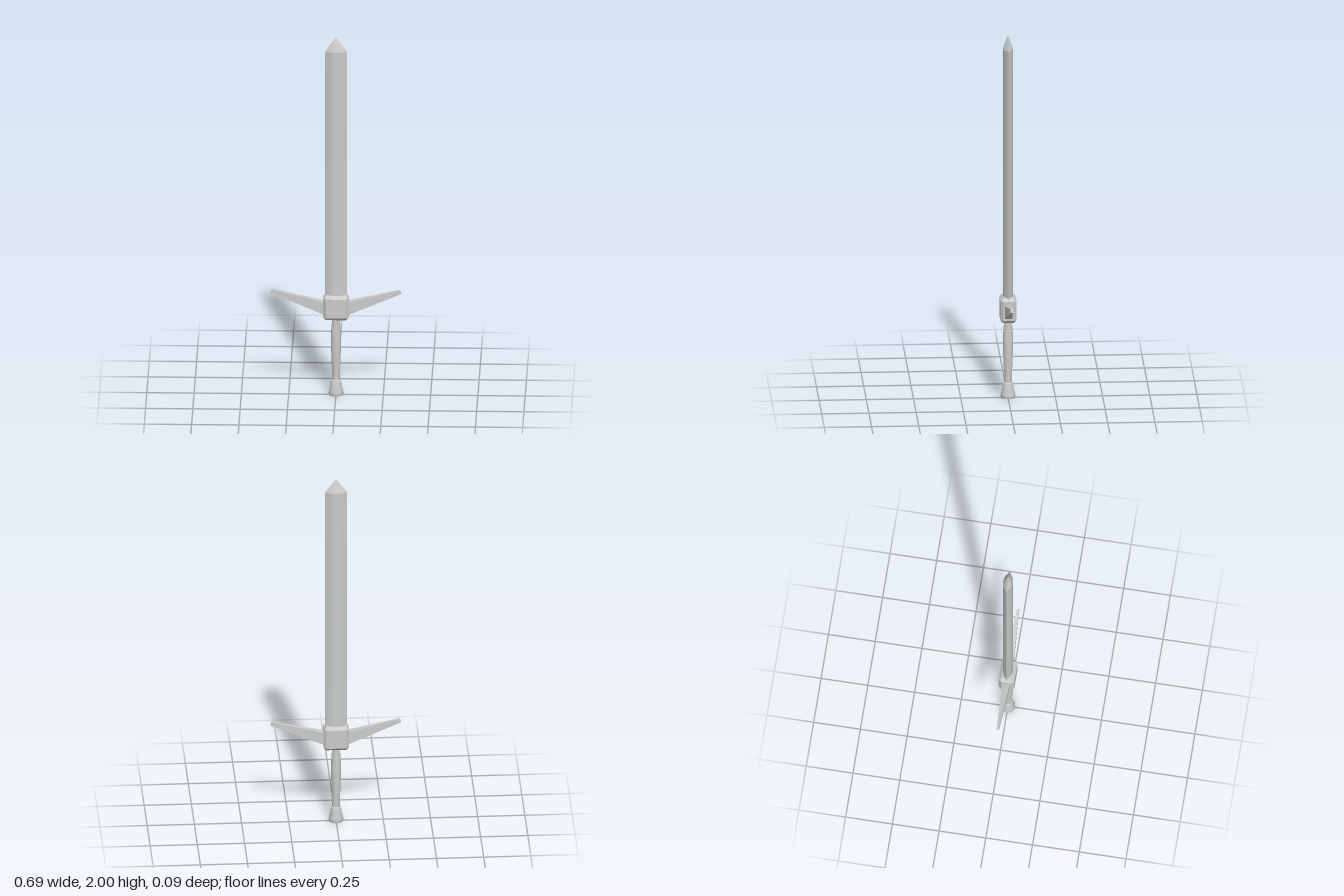
import * as THREE from 'three';
import { toCreasedNormals } from 'three/addons/utils/BufferGeometryUtils.js';
import { ConvexGeometry } from 'three/addons/geometries/ConvexGeometry.js';

// Skin between rings of [x, y, z] points, closed with a cap at both ends
function loft(rings) {
  const pos = [];
  const tri = (...pts) => pts.forEach((p) => pos.push(...p));
  const n = rings[0].length;
  for (let r = 0; r < rings.length - 1; r++) {
    const a = rings[r], b = rings[r + 1];
    for (let i = 0; i < n; i++) {
      const j = (i + 1) % n;
      tri(a[i], a[j], b[j]);
      tri(a[i], b[j], b[i]);
    }
  }
  const first = rings[0], last = rings[rings.length - 1];
  for (let i = 1; i < n - 1; i++) {
    tri(first[0], first[i + 1], first[i]);
    tri(last[0], last[i], last[i + 1]);
  }
  const geometry = new THREE.BufferGeometry();
  geometry.setAttribute('position', new THREE.Float32BufferAttribute(pos, 3));
  geometry.computeVertexNormals();
  return geometry;
}

export function createModel() {
  const model = new THREE.Group();
  model.name = 'sword';
  const smooth = new THREE.MeshStandardMaterial({ color: 0xcccccc });
  const flat = new THREE.MeshStandardMaterial({ color: 0xcccccc, flatShading: true });

  function add(name, geometry, material) {
    const mesh = new THREE.Mesh(geometry, material);
    mesh.name = name;
    model.add(mesh);
    return mesh;
  }

  // Blade: a lens-shaped section with two sharp edges, and a pointed tip
  const half = [[0.0575, 0], [0.031, 0.019], [0.012, 0.0255], [-0.012, 0.0255], [-0.031, 0.019]];
  const section = [...half, ...half.map(([x, z]) => [-x, -z])];
  const bladeRing = (y, s) => section.map(([x, z]) => [x * s, y, -z * s]);
  add('blade', toCreasedNormals(loft([bladeRing(0.5, 1), bladeRing(1.922, 1)]), 0.5), smooth);
  add('bladeTip', toCreasedNormals(loft([bladeRing(1.922, 1), bladeRing(2, 0.002)]), 0.5), smooth);

  // Guard block: a box with every edge bevelled
  const size = [0.0675, 0.0675, 0.043], bevel = 0.015;
  const corners = [];
  for (const sx of [-1, 1]) for (const sy of [-1, 1]) for (const sz of [-1, 1]) {
    for (let face = 0; face < 3; face++) {
      const [x, y, z] = size.map((s, axis) => (axis === face ? s : s - bevel));
      corners.push(new THREE.Vector3(sx * x, sy * y, sz * z));
    }
  }
  add('guardBlock', new ConvexGeometry(corners), flat).position.y = 0.4925;

  // Cross-guard arms: tapered bars sloping up and outwards
  const armRing = (xLow, yLow, xHigh, yHigh, z) => [
    [xLow, yLow, -z], [xHigh, yHigh, -z], [xHigh, yHigh, z], [xLow, yLow, z],
  ];
  const armGeometry = loft([
    armRing(0.045, 0.444, 0.045, 0.517, 0.02),
    armRing(0.345, 0.567, 0.338, 0.587, 0.0065),
  ]);
  add('leftGuardArm', armGeometry, flat);
  add('rightGuardArm', armGeometry, flat).rotation.y = Math.PI;

  // Grip and pommel: turned profiles
  const turned = (profile) => toCreasedNormals(
    new THREE.LatheGeometry(profile.map(([r, y]) => new THREE.Vector2(r, y)), 12), 0.6);
  add('grip', turned([
    [0, 0.07], [0.02, 0.07], [0.021, 0.13], [0.025, 0.23],
    [0.027, 0.29], [0.026, 0.35], [0.022, 0.4], [0.022, 0.45], [0, 0.45],
  ]), smooth);
  add('pommel', turned([
    [0, 0], [0.036, 0], [0.039, 0.008], [0.038, 0.02],
    [0.029, 0.055], [0.027, 0.08], [0.023, 0.086], [0, 0.086],
  ]), smooth);

  return model;
}
